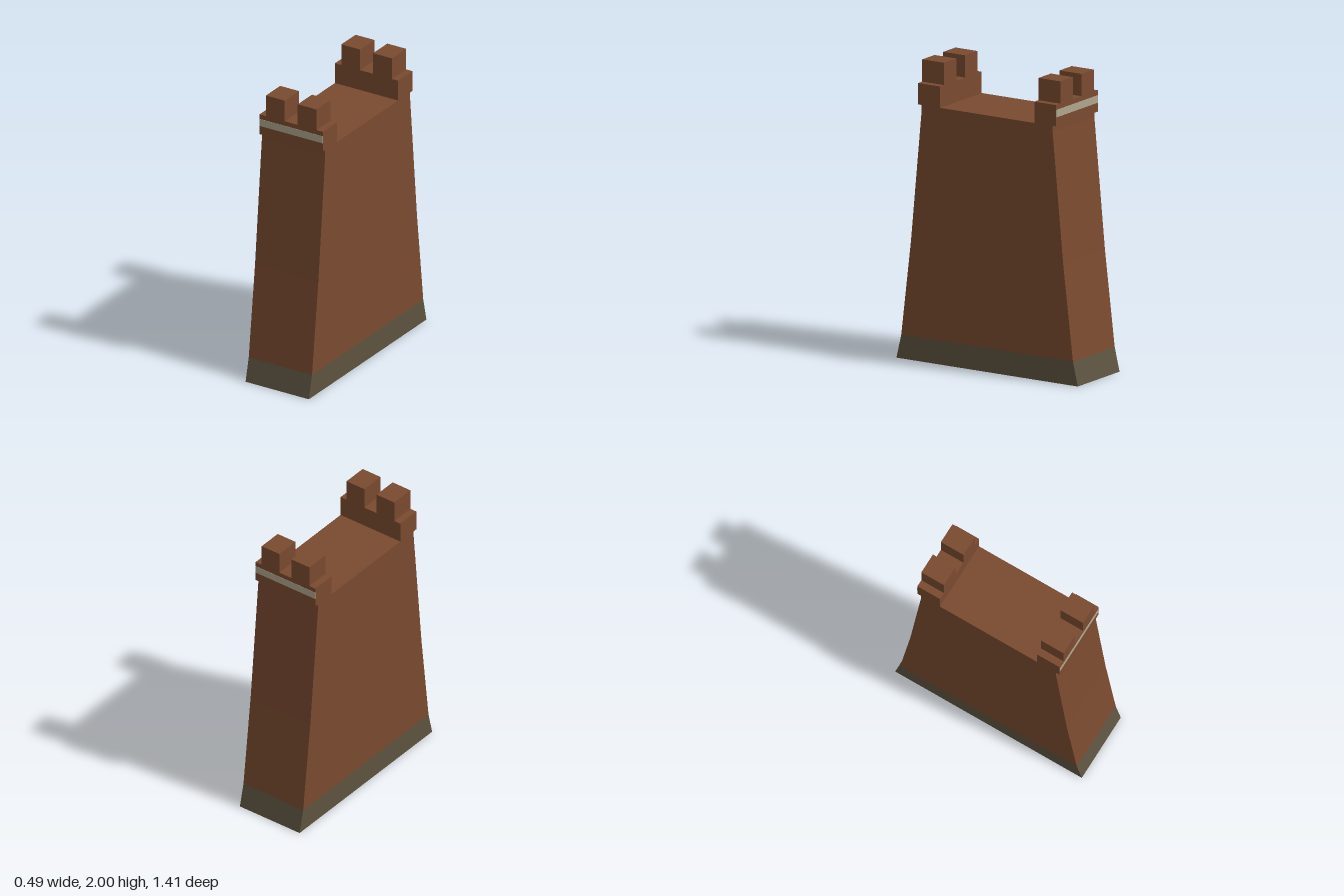
import * as THREE from 'three';

const WIDTH = 0.486;

const brick = new THREE.MeshStandardMaterial({ color: 0x7a4a30, name: 'brick' });
const footing = new THREE.MeshStandardMaterial({ color: 0x5e5340, name: 'footingStone' });
const trim = new THREE.MeshStandardMaterial({ color: 0xb0a68e, name: 'paleTrim' });

function addMesh(parent, name, geometry, material) {
  const mesh = new THREE.Mesh(geometry, material);
  mesh.name = name;
  parent.add(mesh);
  return mesh;
}

// Box given by its lower and upper corners
function addBox(parent, name, material, min, max) {
  const size = max.map((v, i) => v - min[i]);
  const mesh = addMesh(parent, name, new THREE.BoxGeometry(...size), material);
  mesh.position.set(...max.map((v, i) => (v + min[i]) / 2));
  return mesh;
}

// Symmetric [half depth, height] profile, extruded across the width of the wall
function wallSlab(profile) {
  const mirrored = profile.map(([z, y]) => [-z, y]).reverse();
  const shape = new THREE.Shape([...profile, ...mirrored].map(([z, y]) => new THREE.Vector2(z, y)));
  const geometry = new THREE.ExtrudeGeometry(shape, { depth: WIDTH, bevelEnabled: false });
  return geometry.translate(0, 0, -WIDTH / 2).rotateY(Math.PI / 2);
}

export function createModel() {
  const model = new THREE.Group();
  model.name = 'castleWallSection';
  const half = WIDTH / 2;

  // Flared footing and battered wall
  addMesh(model, 'footing', wallSlab([[0.706, 0], [0.668, 0.16]]), footing);
  addMesh(model, 'wallBody',
    wallSlab([[0.668, 0.16], [0.592, 0.8], [0.51, 1.67], [0.51, 1.71]]), brick);

  // Matching battlements on the front and back edges
  for (const [name, turn] of [['frontBattlement', 0], ['backBattlement', Math.PI]]) {
    const battlement = new THREE.Group();
    battlement.name = name;
    battlement.rotation.y = turn;
    addBox(battlement, 'parapet', brick, [-half, 1.71, 0.367], [half, 1.852, 0.538]);
    addBox(battlement, 'trimBand', trim, [-half, 1.77, 0.536], [half, 1.82, 0.54]);
    for (const side of [-1, 1]) {
      const inner = side * 0.05, outer = side * 0.194;
      addBox(battlement, side > 0 ? 'leftMerlon' : 'rightMerlon', brick,
        [Math.min(inner, outer), 1.852, 0.367], [Math.max(inner, outer), 2, 0.538]);
    }
    model.add(battlement);
  }
  return model;
}
